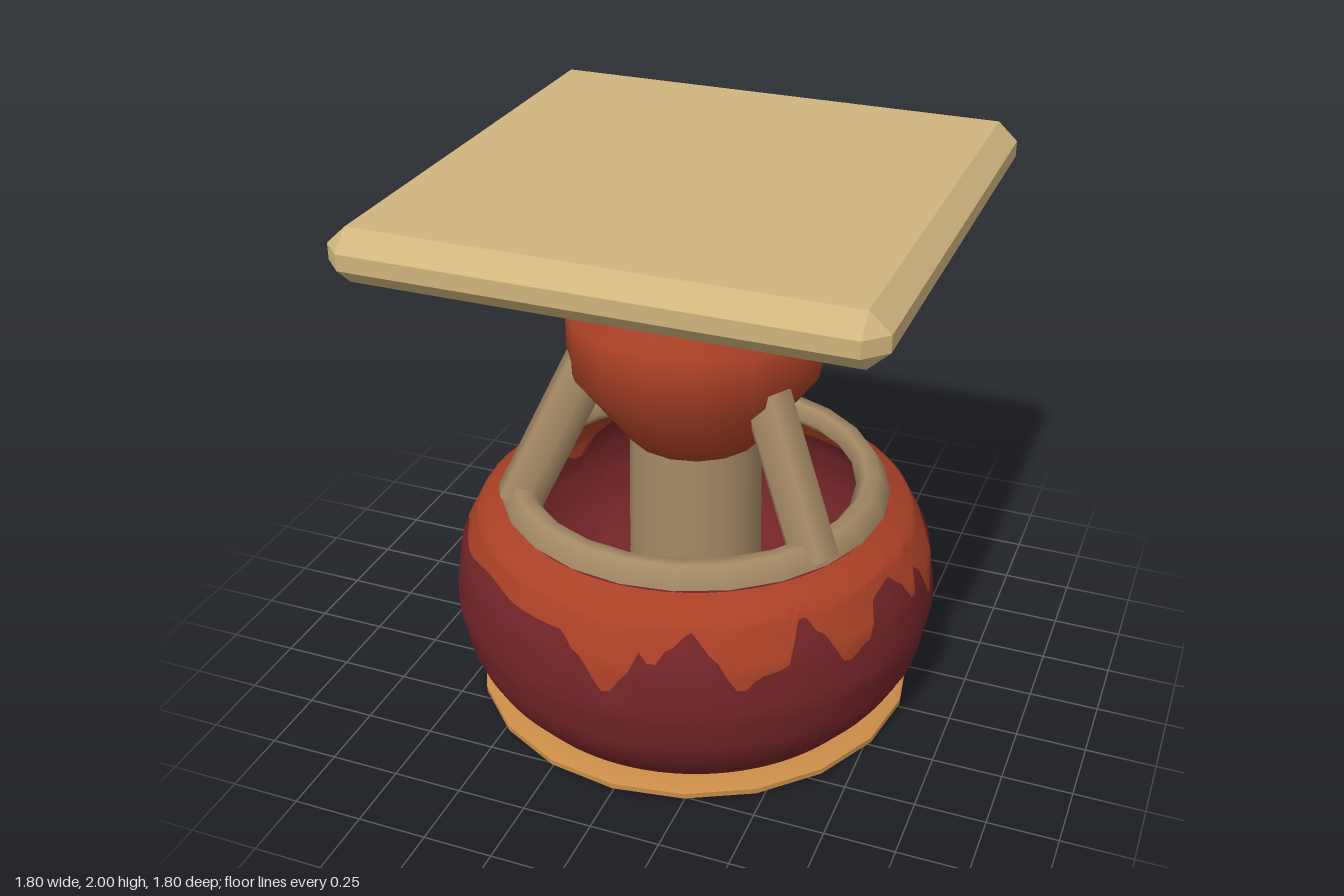
import * as THREE from 'three';
import { toCreasedNormals } from 'three/addons/utils/BufferGeometryUtils.js';
import { ConvexGeometry } from 'three/addons/geometries/ConvexGeometry.js';

const material = (name, color) => {
  const m = new THREE.MeshStandardMaterial({ color });
  m.name = name;
  return m;
};

// Piecewise interpolation through [key, value] pairs
const interp = (table, k, ease = (t) => t) => {
  let i = 0;
  while (i < table.length - 2 && k > table[i + 1][0]) i++;
  const [k0, v0] = table[i], [k1, v1] = table[i + 1];
  const t = THREE.MathUtils.clamp((k - k0) / (k1 - k0), 0, 1);
  return v0 + (v1 - v0) * ease(t);
};

// Lower edge of the glaze: [degrees from front, height], repeating every half turn
const DRIPS = [
  [-12, 0.65], [-7, 0.60], [1, 0.48], [5, 0.55], [8, 0.64], [11, 0.60], [15, 0.66], [20, 0.71],
  [24, 0.64], [31, 0.51], [36, 0.56], [41, 0.57], [47, 0.72], [51, 0.65], [57, 0.52], [64, 0.56],
  [69, 0.68], [76, 0.70], [79, 0.66], [83, 0.57], [88, 0.65], [95, 0.48], [100, 0.53], [107, 0.62],
  [112, 0.65], [125, 0.64], [141, 0.67], [155, 0.65], [168, 0.65],
];
const dripEdge = (angle) => {
  const deg = THREE.MathUtils.euclideanModulo(THREE.MathUtils.radToDeg(angle) + 12, 180) - 12;
  return interp(DRIPS, deg, (t) => t * t * (3 - 2 * t));
};

// Bowl wall profiles: [height, radius]
const OUTER = [[0.045, 0.72], [0.14, 0.80], [0.23, 0.85], [0.41, 0.885], [0.59, 0.86], [0.73, 0.79], [0.79, 0.69]];
const INNER = [[0.09, 0.53], [0.16, 0.70], [0.30, 0.79], [0.45, 0.82], [0.60, 0.79], [0.72, 0.71], [0.79, 0.61]];

// Band of a round wall between two heights that may vary with the angle
function wall(profile, top, bottom, inward) {
  const cols = 180, rows = 12, pos = [], index = [];
  for (let i = 0; i < cols; i++) {
    const a = (i / cols) * Math.PI * 2;
    for (let j = 0; j <= rows; j++) {
      const y = THREE.MathUtils.lerp(top(a), bottom(a), j / rows);
      const r = interp(profile, y);
      pos.push(r * Math.sin(a), y, r * Math.cos(a));
    }
  }
  for (let i = 0; i < cols; i++) {
    for (let j = 0; j < rows; j++) {
      const a = i * (rows + 1) + j, d = ((i + 1) % cols) * (rows + 1) + j;
      if (inward) index.push(a, d + 1, a + 1, a, d, d + 1);
      else index.push(a, a + 1, d + 1, a, d + 1, d);
    }
  }
  const g = new THREE.BufferGeometry();
  g.setAttribute('position', new THREE.Float32BufferAttribute(pos, 3));
  g.setIndex(index);
  g.computeVertexNormals();
  return g;
}

const lathe = (points, segments) =>
  new THREE.LatheGeometry(points.map(([r, y]) => new THREE.Vector2(r, y)), segments);

export function createModel() {
  const model = new THREE.Group();
  const maroon = material('maroon clay', 0x722428);
  const glaze = material('orange glaze', 0xa94025);
  const wood = material('brown wood', 0xa58a65);
  const tan = material('pale wood', 0xd0b57d);
  const gold = material('golden base', 0xc98c47);

  const add = (name, geometry, mat, parent = model) => {
    const mesh = new THREE.Mesh(geometry, mat);
    mesh.name = name;
    parent.add(mesh);
    return mesh;
  };

  // Hollow bowl, glazed above the drip edge both outside and inside
  const bowl = new THREE.Group();
  bowl.name = 'bowl';
  model.add(bowl);
  for (const [side, profile, inward] of [['outer', OUTER, false], ['inner', INNER, true]]) {
    const low = profile[0][0];
    add(side + 'Glaze', wall(profile, () => 0.79, dripEdge, inward), glaze, bowl);
    add(side + 'Wall', wall(profile, dripEdge, () => low, inward), maroon, bowl);
  }
  add('bowlLip', lathe([[0.69, 0.79], [0.61, 0.79]], 60), maroon, bowl);
  add('bowlUnderside', lathe([[0.52, 0.07], [0.62, 0.045], [0.72, 0.045]], 60), maroon, bowl);

  // Slotted floor
  const disc = new THREE.Shape().absarc(0, 0, 0.53, 0, Math.PI * 2);
  for (const z of [-0.3, -0.1, 0.1, 0.3]) {
    const h = Math.sqrt(0.48 ** 2 - z ** 2), w = 0.02;
    disc.holes.push(new THREE.Path([[-h, z - w], [-h, z + w], [h, z + w], [h, z - w]]
      .map(([x, y]) => new THREE.Vector2(x, y))));
  }
  const floor = new THREE.ExtrudeGeometry(disc, { depth: 0.03, bevelEnabled: false, curveSegments: 24 });
  floor.rotateX(-Math.PI / 2).translate(0, 0.065, 0);
  add('slottedFloor', floor, maroon, bowl);

  // Base ring and rim ring
  const base = lathe([[0.69, 0], [0.79, 0], [0.81, 0.012], [0.81, 0.032], [0.79, 0.045], [0.69, 0.045], [0.69, 0]], 20);
  add('baseRing', toCreasedNormals(base, 0.6), gold);
  add('rimRing', lathe([[0.68, 0.79], [0.705, 0.805], [0.66, 0.875], [0.615, 0.875], [0.58, 0.83],
    [0.615, 0.79], [0.68, 0.79]], 24), wood);

  // Central stem and bulb
  add('stem', new THREE.CylinderGeometry(0.235, 0.25, 0.94, 16).translate(0, 0.56, 0), wood);
  add('bulb', lathe([[0, 1.03], [0.245, 1.03], [0.45, 1.31], [0.45, 1.52], [0.2, 1.825]], 16), glaze);

  // Three slanted hexagonal struts from the rim to the bulb
  const foot = new THREE.Vector2(0.64, 0.795), head = new THREE.Vector2(0.375, 1.32);
  const strutGeometry = new THREE.CylinderGeometry(0.09, 0.09, foot.distanceTo(head), 6)
    .rotateY(Math.PI / 6)
    .rotateX(-Math.atan2(foot.x - head.x, head.y - foot.y))
    .translate(0, (foot.y + head.y) / 2, (foot.x + head.x) / 2);
  [['leftStrut', 1], ['rightStrut', -1], ['backStrut', 3]].forEach(([name, turn]) => {
    add(name, strutGeometry, wood).rotation.y = (turn * Math.PI) / 3;
  });

  // Square top board with chamfered edges and corners
  const corners = [];
  for (const sx of [-1, 1]) for (const sy of [-1, 1]) for (const sz of [-1, 1]) {
    for (const [x, y, z] of [[0.9, 0.028, 0.83], [0.83, 0.028, 0.9], [0.83, 0.0925, 0.83]]) {
      corners.push(new THREE.Vector3(sx * x, 1.9075 + sy * y, sz * z));
    }
  }
  add('topBoard', new ConvexGeometry(corners), tan);

  return model;
}
